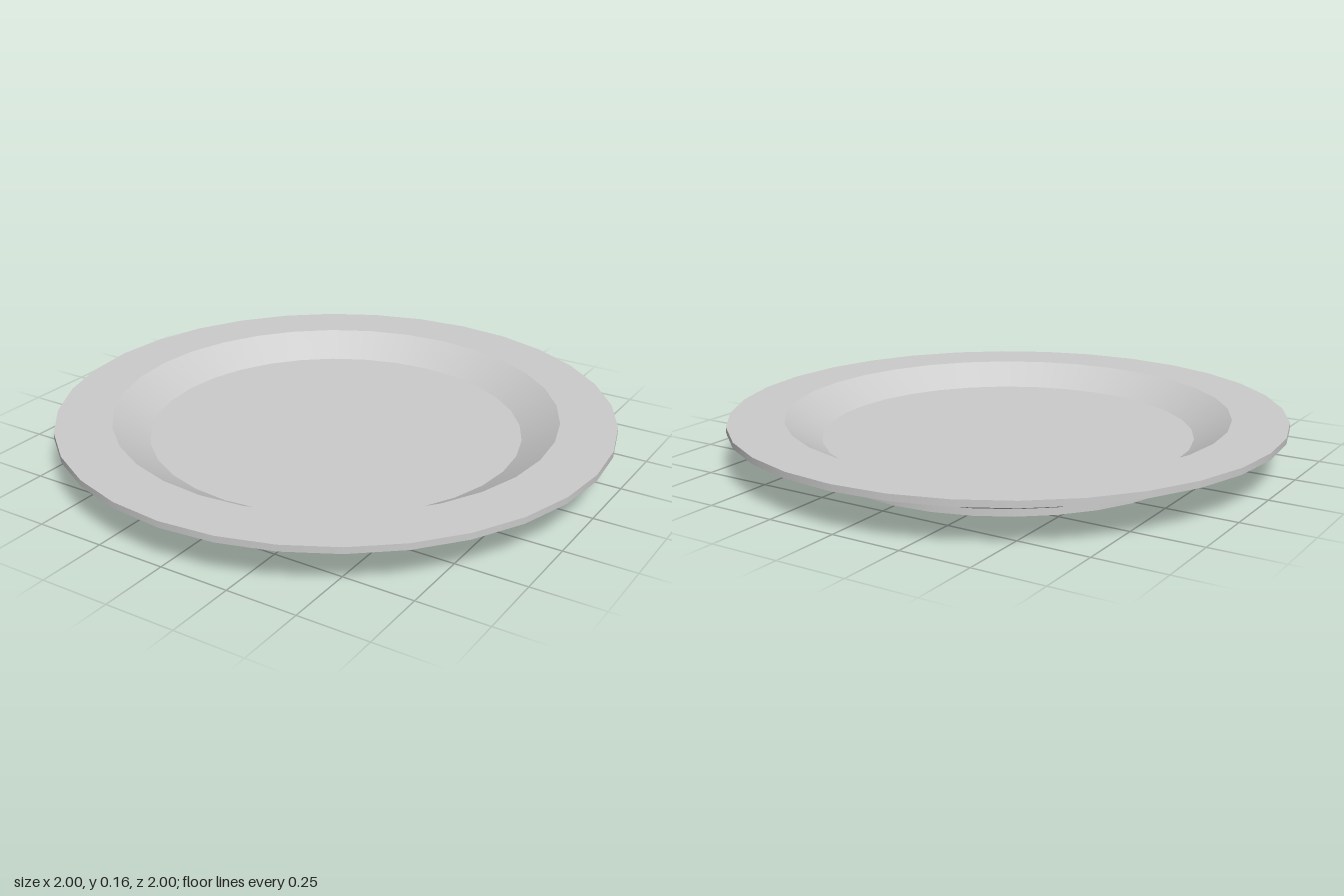
import * as THREE from 'three';

const SIDES = 32;

export function createModel() {
  const plate = new THREE.Group();
  plate.name = 'plate';
  const material = new THREE.MeshStandardMaterial({ color: 0xcccccc });

  // Each part is a revolved run of [radius, height]; separate runs keep the edges between them sharp.
  // The runs follow the closed section from the underside centre round to the top centre.
  const runs = [
    ['baseUnderside', [[0, 0.02], [0.665, 0.02]]],
    ['footInnerWall', [[0.665, 0.02], [0.665, 0]]],
    ['footBottom', [[0.665, 0], [0.69, 0]]],
    ['footOuterWall', [[0.69, 0], [0.69, 0.025]]],
    ['outerWall', [[0.69, 0.025], [0.783, 0.083], [0.845, 0.137]]],
    ['rimUnderside', [[0.845, 0.137], [1, 0.137]]],
    ['rimEdge', [[1, 0.137], [1, 0.16]]],
    ['rimTop', [[1, 0.16], [0.8, 0.16]]],
    ['innerWall', [[0.8, 0.16], [0.67, 0.083]]],
    ['floor', [[0.67, 0.083], [0, 0.083]]],
  ];

  for (const [name, points] of runs) {
    const profile = points.map(([r, y]) => new THREE.Vector2(r, y));
    const mesh = new THREE.Mesh(new THREE.LatheGeometry(profile, SIDES), material);
    mesh.name = name;
    plate.add(mesh);
  }
  return plate;
}
